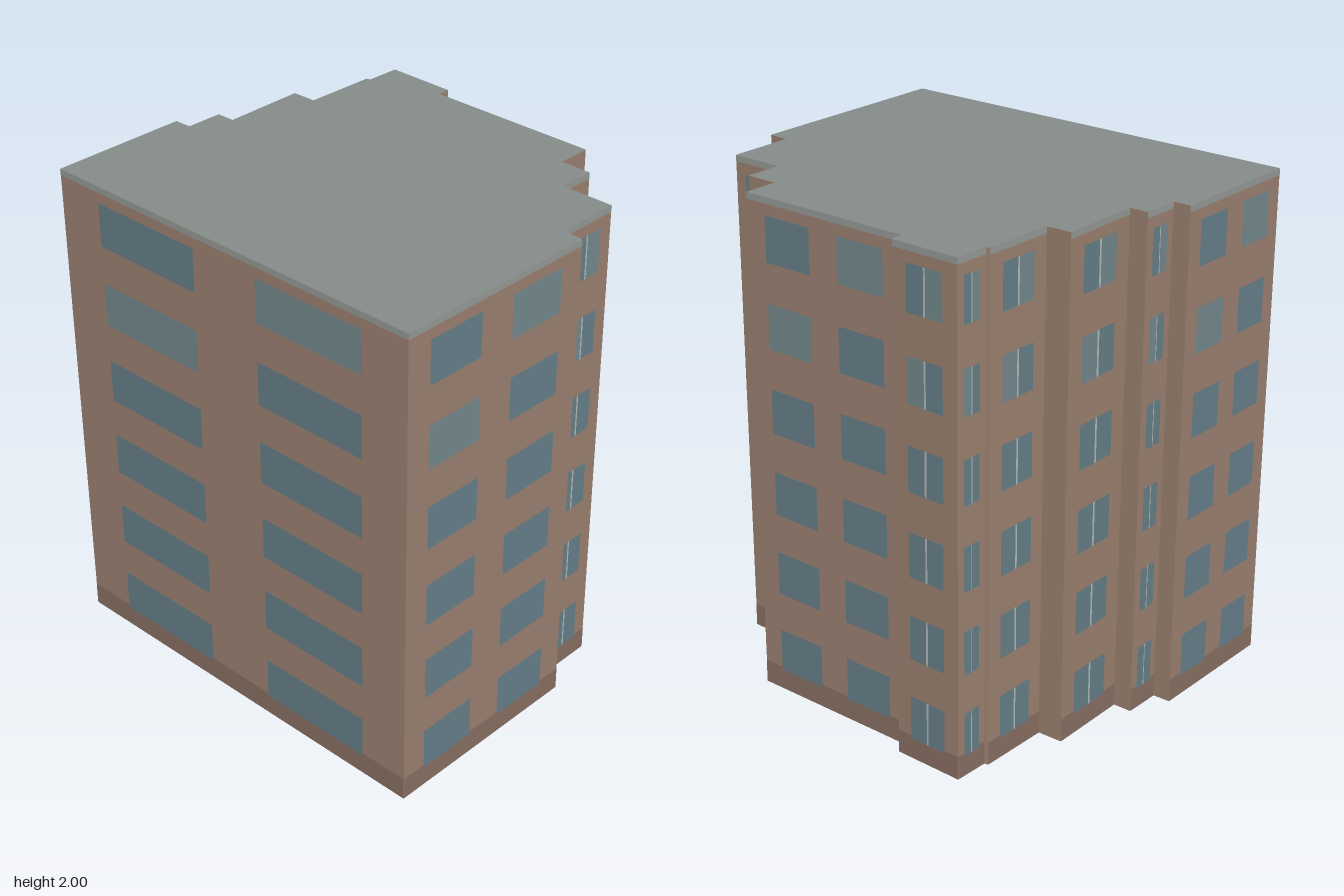
import * as THREE from 'three';

const material = (color) => new THREE.MeshStandardMaterial({ color, roughness: 0.9 });
const HEIGHT = 2, FLOORS = 6, FLOOR_STEP = 0.334, SILL = 0.085, WINDOW_HEIGHT = 0.177;

// Footprint corners [x, z, facade of the wall that starts here]
const FOOTPRINT = [
  [-0.83, 0.79, 'wide'], [0.885, 0.59, 'wide'], [0.79, -0.285, 'blank'], [0.705, -0.28, 'pair'],
  [0.675, -0.545, 'pair'], [0.455, -0.52, 'pair'], [0.44, -0.67, 'blank'], [0.31, -0.655, 'blank'],
  [0.295, -0.795, 'wide'], [-0.43, -0.71, 'blank'], [-0.435, -0.76, 'pair'], [-0.72, -0.73, 'pair'],
  [-0.71, -0.59, 'blank'], [-0.725, -0.585, 'pair'], [-0.7, -0.295, 'blank'], [-0.8, -0.28, 'pair'],
  [-0.76, 0.055, 'blank'], [-0.835, 0.065, 'pair'], [-0.82, 0.215, 'blank'], [-0.89, 0.225, 'wide'],
];

// Window spans as fractions of the wall length
const SPANS = {
  wide: [[0.12, 0.41], [0.59, 0.88]],
  pair: [[0.22, 0.485], [0.515, 0.78]],
};

export function createModel() {
  const building = new THREE.Group();
  building.name = 'apartmentBlock';
  const wallMat = material(0x9c8271);
  const baseMat = material(0x8a7064);
  const trimMat = material(0x969c99);
  const roofMat = material(0x868d8a);
  const glassMat = material(0x67808a);
  const paleGlassMat = material(0x748a8e);
  const mullionMat = material(0xb4bcbc);

  const shape = new THREE.Shape(FOOTPRINT.map(([x, z]) => new THREE.Vector2(x, -z)));

  // Solid body
  const bodyGeo = new THREE.ExtrudeGeometry(shape, { depth: HEIGHT - 0.001, bevelEnabled: false });
  const body = new THREE.Mesh(bodyGeo.rotateX(-Math.PI / 2), wallMat);
  body.name = 'walls';
  building.add(body);

  // Flat roof surface
  const roof = new THREE.Mesh(new THREE.ShapeGeometry(shape).rotateX(-Math.PI / 2), roofMat);
  roof.name = 'roof';
  roof.position.y = HEIGHT;
  building.add(roof);

  // Each facade is a group whose x axis runs along the wall and z points outward
  FOOTPRINT.forEach(([x, z, type], i) => {
    if (type === 'blank') return;
    const [nx, nz] = FOOTPRINT[(i + 1) % FOOTPRINT.length];
    const length = Math.hypot(nx - x, nz - z);
    const facade = new THREE.Group();
    facade.name = 'facade';
    facade.position.set(x, 0, z);
    facade.rotation.y = Math.atan2(z - nz, nx - x);
    building.add(facade);

    const panel = (name, mat, from, to, bottom, top, offset) => {
      const mesh = new THREE.Mesh(new THREE.PlaneGeometry((to - from) * length, top - bottom), mat);
      mesh.name = name;
      mesh.position.set(((from + to) / 2) * length, (bottom + top) / 2, offset);
      facade.add(mesh);
    };

    panel('basePlinth', baseMat, 0, 1, 0, 0.095, 0.001);
    panel('roofTrim', trimMat, 0, 1, HEIGHT - 0.025, HEIGHT, 0.001);

    for (let floor = 0; floor < FLOORS; floor++) {
      const bottom = SILL + floor * FLOOR_STEP;
      const top = bottom + WINDOW_HEIGHT;
      SPANS[type].forEach(([from, to], column) => {
        // The upper two storeys have one paler pane each
        const pale = floor - column === FLOORS - 2;
        panel('window', pale ? paleGlassMat : glassMat, from, to, bottom, top, 0.002);
      });
      if (type === 'pair') panel('mullion', mullionMat, 0.485, 0.515, bottom, top, 0.002);
    }
  });

  return building;
}
